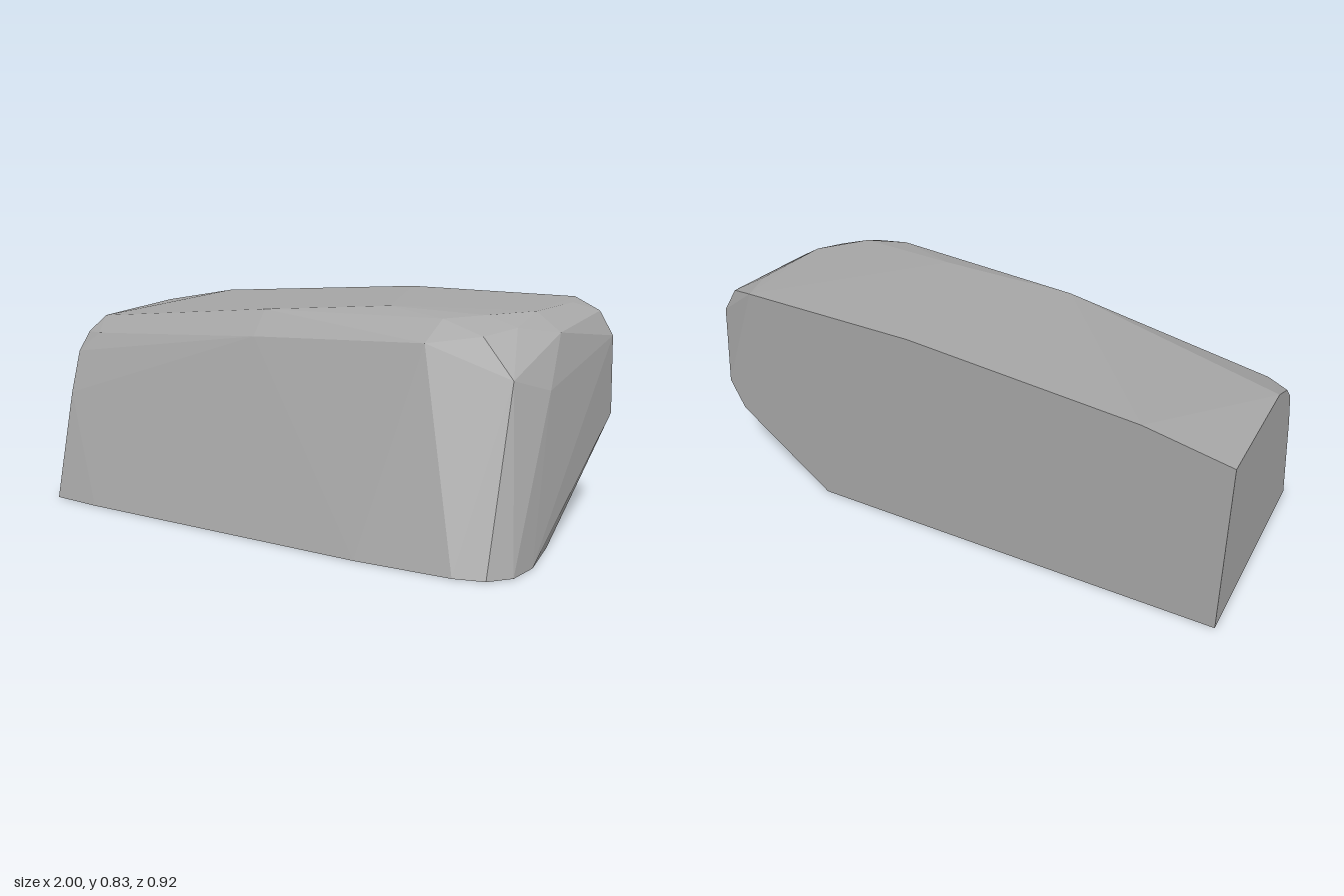
import * as THREE from 'three';
import { ConvexGeometry } from 'three/addons/geometries/ConvexGeometry.js';

// Faceted boulder: flat back, base and left end, worn front and right end.
export function createModel() {
  const stone = new THREE.MeshStandardMaterial({ color: 0xa6a6a6, flatShading: true });
  stone.name = 'grey stone';

  // Base outline at y = 0, as [x, z]
  const base = [
    [-1, -0.46], [0.59, -0.46], [0.857, -0.1], [0.915, 0.02], [0.935, 0.24],
    [0.91, 0.36], [0.84, 0.43], [0.73, 0.455], [0.37, 0.455], [-0.8, 0.375], [-1, 0.35],
  ].map(([x, z]) => [x, 0, z]);

  // Flat back outline at z = -0.46, as [x, y]
  const back = [
    [-1, 0.7], [-0.68, 0.762], [0.18, 0.83], [0.84, 0.83], [0.945, 0.29],
  ].map(([x, y]) => [x, y, -0.46]);

  // Flat left end at x = -1, as [y, z]
  const leftEnd = [
    [0.69, 0], [0.64, 0.11], [0.57, 0.18], [0.41, 0.238],
  ].map(([y, z]) => [-1, y, z]);

  // Worn shoulder between the top and the front
  const shoulder = [
    [-0.92, 0.645, 0.15], [-0.16, 0.7, 0.215], [0.53, 0.735, 0.245], [0.72, 0.765, 0.195],
    [-0.16, 0.79, 0.13], [0.56, 0.81, 0.16], [0.32, 0.827, 0.07], [0.69, 0.822, 0.09],
  ];

  // Worn right end
  const rightEnd = [
    [0.82, 0.825, -0.06], [0.87, 0.826, -0.33], [0.8, 0.785, 0.08], [0.84, 0.63, 0.22],
    [0.915, 0.76, -0.04], [0.925, 0.58, 0.08], [0.95, 0.79, -0.41], [1, 0.7, -0.42],
    [1, 0.4, -0.455], [0.985, 0.57, -0.33], [0.98, 0.37, -0.32],
  ];

  const points = [...base, ...back, ...leftEnd, ...shoulder, ...rightEnd]
    .map((p) => new THREE.Vector3(...p));
  const boulder = new THREE.Mesh(new ConvexGeometry(points), stone);
  boulder.name = 'boulder';

  const group = new THREE.Group();
  group.name = 'rock';
  group.add(boulder);
  return group;
}
